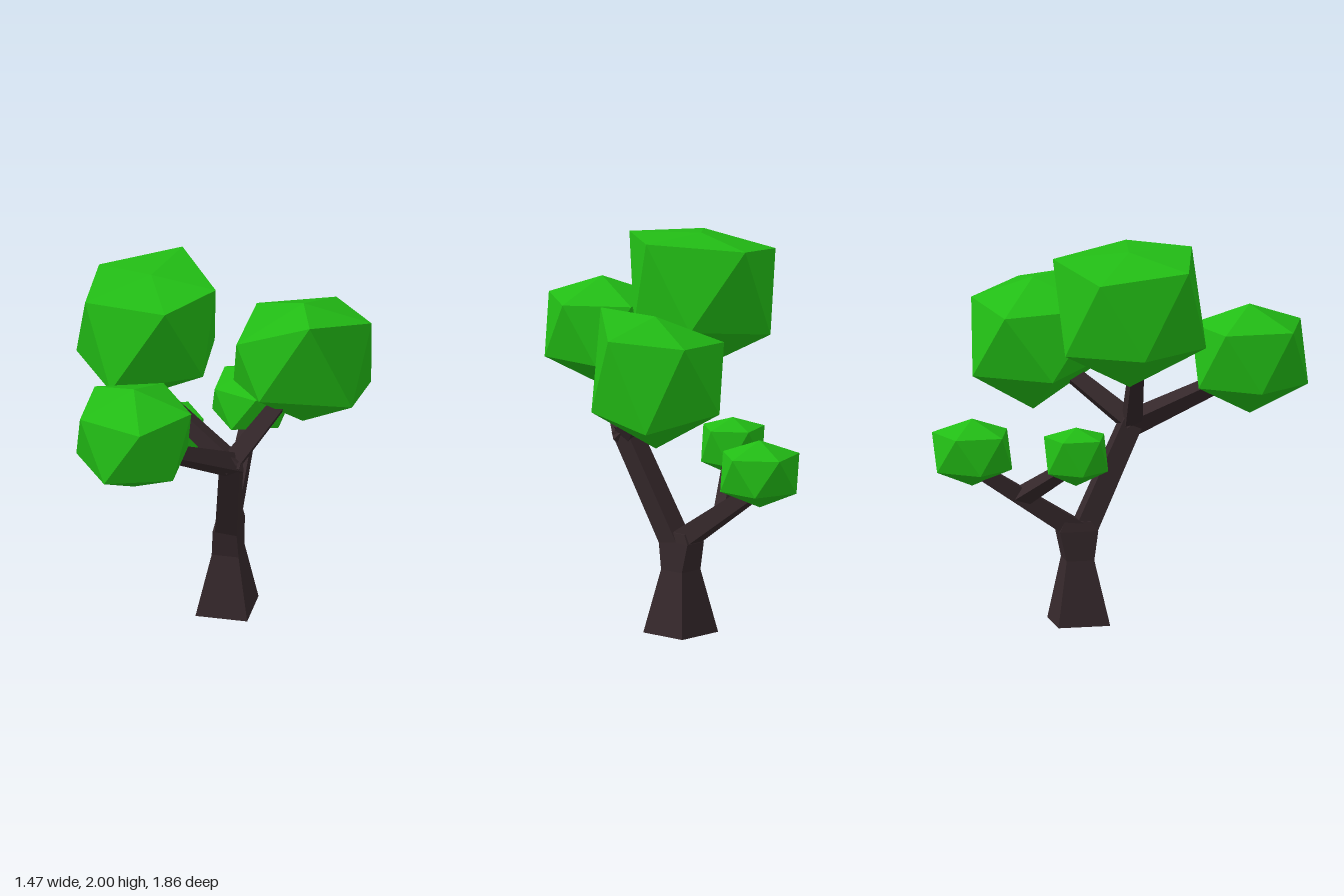
import * as THREE from 'three';

const bark = new THREE.MeshStandardMaterial({ color: 0x35282b, flatShading: true });
const leaf = new THREE.MeshStandardMaterial({ color: 0x22bd15, flatShading: true });

function facetedMesh(name, points, index, material) {
  let geo = new THREE.BufferGeometry();
  geo.setAttribute('position', new THREE.Float32BufferAttribute(points.flat(), 3));
  geo.setIndex(index);
  geo = geo.toNonIndexed();
  geo.computeVertexNormals();
  const mesh = new THREE.Mesh(geo, material);
  mesh.name = name;
  return mesh;
}

// Twenty-sided crown: top point, two staggered rings of five, bottom point.
// Rings run anticlockwise seen from above; lower[i] sits between upper[i] and upper[i + 1].
function crown(name, top, upper, lower, bottom) {
  const index = [];
  for (let i = 0; i < 5; i++) {
    const j = (i + 1) % 5;
    const u = 1 + i, u2 = 1 + j, l = 6 + i, l2 = 6 + j;
    index.push(0, u, u2, u, l, u2, u2, l, l2, 11, l2, l);
  }
  return facetedMesh(name, [top, ...upper, ...lower, bottom], index, leaf);
}

// Upright crown with regular rings; ys = top, upper ring, lower ring, bottom
function uprightCrown(name, x, z, r, ys) {
  const ring = (y, offset) => Array.from({ length: 5 }, (_, i) => {
    const a = (i + offset) * Math.PI * 0.4;
    return [x + r * Math.cos(a), y, z - r * Math.sin(a)];
  });
  return crown(name, [x, ys[0], z], ring(ys[1], 0), ring(ys[2], 0.5), [x, ys[3], z]);
}

// Square tapered beam from a to b, with half widths ra and rb
function beam(name, a, b, ra, rb) {
  const start = new THREE.Vector3(...a), end = new THREE.Vector3(...b);
  const dir = end.clone().sub(start);
  const geo = new THREE.CylinderGeometry(rb * Math.SQRT2, ra * Math.SQRT2, dir.length(), 4);
  geo.rotateY(Math.PI / 4);
  const mesh = new THREE.Mesh(geo, bark);
  mesh.name = name;
  mesh.position.copy(start).add(end).multiplyScalar(0.5);
  mesh.quaternion.setFromUnitVectors(new THREE.Vector3(0, 1, 0), dir.normalize());
  return mesh;
}

// Trunk lofted through rectangular sections: y, centre x, centre z, half width, half depth
function trunk() {
  const sections = [
    [0, 0.015, -0.185, 0.135, 0.135],
    [0.33, 0.02, -0.19, 0.07, 0.072],
    [0.48, 0.022, -0.195, 0.062, 0.1],
    [0.53, 0.025, -0.2, 0.055, 0.07],
  ];
  const points = [], index = [];
  for (const [y, x, z, w, d] of sections)
    points.push([x - w, y, z + d], [x + w, y, z + d], [x + w, y, z - d], [x - w, y, z - d]);
  for (let s = 0; s < sections.length - 1; s++)
    for (let i = 0; i < 4; i++) {
      const a = s * 4 + i, b = s * 4 + (i + 1) % 4;
      index.push(a, b, b + 4, a, b + 4, a + 4);
    }
  const t = points.length - 4;
  index.push(0, 2, 1, 0, 3, 2, t, t + 1, t + 2, t, t + 2, t + 3);
  return facetedMesh('trunk', points, index, bark);
}

export function createModel() {
  const tree = new THREE.Group();
  tree.name = 'tree';

  // Trunk, two main limbs and the branches they carry
  tree.add(
    trunk(),
    beam('frontLimb', [0.025, 0.46, -0.165], [0.105, 1.04, 0.12], 0.057, 0.052),
    beam('backLimb', [0.02, 0.48, -0.2], [0.02, 0.83, -0.73], 0.052, 0.036),
    beam('frontBranch', [0.12, 0.99, 0.09], [-0.21, 1.28, 0.53], 0.05, 0.034),
    beam('topBranch', [0.12, 1.0, 0.115], [-0.33, 1.36, 0.04], 0.045, 0.034),
    beam('sideBranch', [0.09, 1.0, 0.12], [0.33, 1.28, -0.22], 0.048, 0.036),
    beam('lowBranch', [0.02, 0.66, -0.49], [-0.25, 0.87, -0.29], 0.04, 0.03),
  );

  // Upright crowns
  tree.add(
    uprightCrown('frontCrown', -0.29, 0.64, 0.3, [1.69, 1.58, 1.28, 1.12]),
    uprightCrown('lowCrown', -0.29, -0.265, 0.165, [1.085, 1.035, 0.86, 0.78]),
    uprightCrown('backCrown', 0.022, -0.74, 0.206, [1.085, 1.01, 0.825, 0.735]),
  );

  // Large tilted crowns
  tree.add(
    crown('topCrown', [-0.34, 2.0, 0.0],
      [[0.01, 1.985, 0.06], [-0.26, 1.965, -0.38], [-0.66, 1.9, -0.22], [-0.63, 1.94, 0.25], [-0.19, 1.98, 0.36]],
      [[-0.05, 1.55, -0.19], [-0.47, 1.5, -0.36], [-0.73, 1.51, 0.0], [-0.47, 1.51, 0.375], [-0.03, 1.54, 0.18]],
      [-0.36, 1.3, 0.0]),
    crown('sideCrown', [0.38, 1.73, -0.345],
      [[0.735, 1.655, -0.345], [0.485, 1.615, -0.645], [0.09, 1.58, -0.555], [0.09, 1.605, -0.065], [0.475, 1.75, -0.055]],
      [[0.685, 1.19, -0.56], [0.265, 1.25, -0.685], [0.02, 1.25, -0.32], [0.23, 1.34, 0.03], [0.67, 1.25, -0.17]],
      [0.375, 1.04, -0.345]),
  );
  return tree;
}
